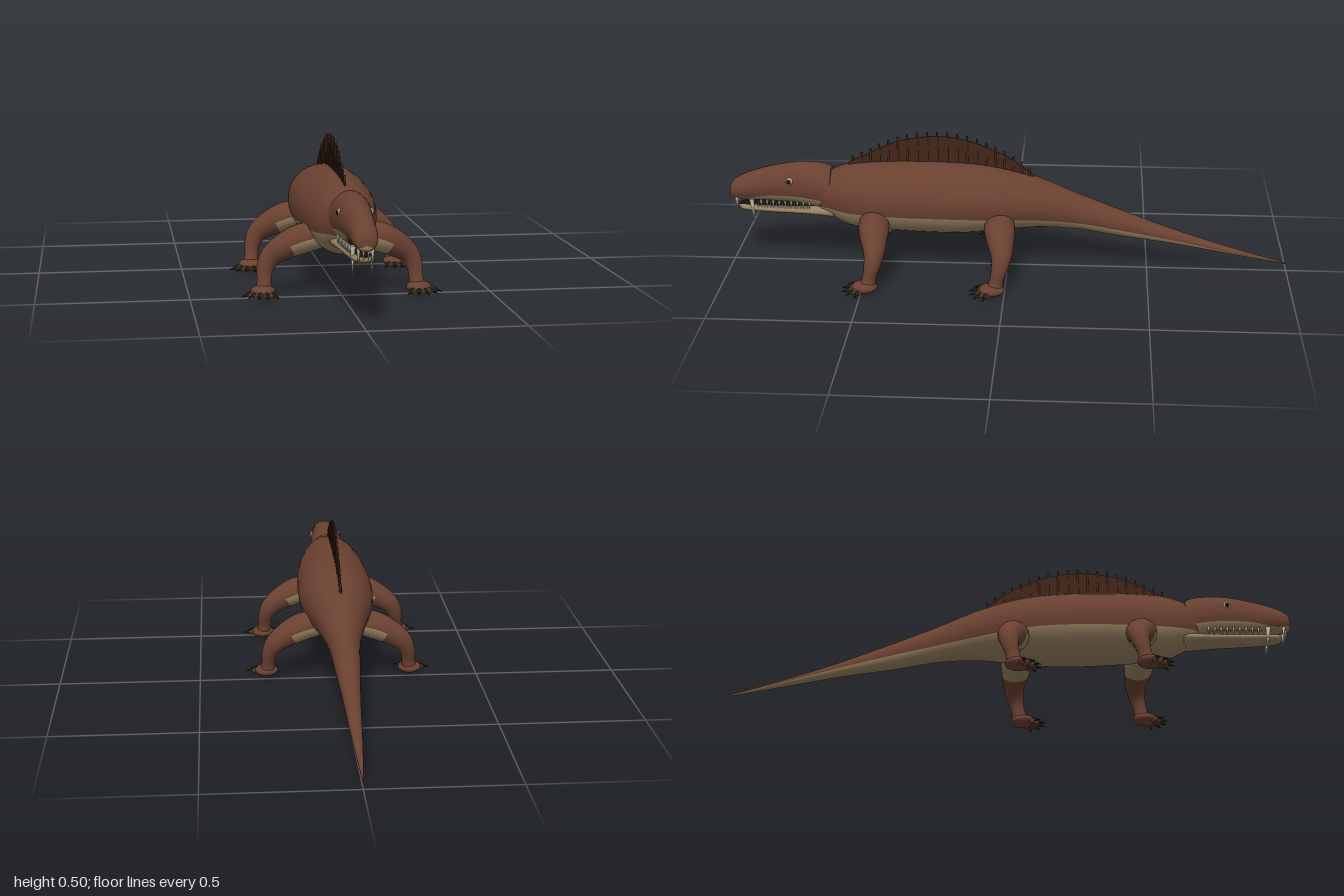
import * as THREE from 'three';

const mat = (name, color) => {
  const m = new THREE.MeshStandardMaterial({ color });
  m.name = name;
  return m;
};
const V = (x, y, z) => new THREE.Vector3(x, y, z);

// Smoothly subdivide a table of key rows, column by column
function smoothRows(rows, k) {
  const out = [];
  const at = i => rows[Math.max(0, Math.min(rows.length - 1, i))];
  for (let i = 0; i < rows.length - 1; i++) {
    for (let s = 0; s < k; s++) {
      const t = s / k;
      out.push(rows[i].map((p1, c) => {
        const p0 = at(i - 1)[c], p2 = at(i + 1)[c], p3 = at(i + 2)[c];
        return p1 + 0.5 * t * (p2 - p0 + t * (2 * p0 - 5 * p1 + 4 * p2 - p3 + t * (3 * (p1 - p2) + p3 - p0)));
      }));
    }
  }
  out.push(rows[rows.length - 1]);
  return out;
}

// Closed skin over rings of points; isPale picks the second material per quad
function loft(rings, isPale) {
  const n = rings[0].length, pos = [], faces = [[], []];
  rings.forEach(r => r.forEach(p => pos.push(p.x, p.y, p.z)));
  for (let i = 0; i < rings.length - 1; i++) {
    for (let j = 0; j < n; j++) {
      const a = i * n + j, b = i * n + (j + 1) % n, c = a + n, d = b + n;
      faces[isPale(i, j) ? 1 : 0].push(a, c, b, b, c, d);
    }
  }
  [0, rings.length - 1].forEach((i, end) => {
    const m = rings[i].reduce((s, p) => s.add(p), V(0, 0, 0)).divideScalar(n);
    const centre = pos.length / 3;
    pos.push(m.x, m.y, m.z);
    for (let j = 0; j < n; j++) {
      const a = i * n + j, b = i * n + (j + 1) % n;
      faces[isPale(i, j) ? 1 : 0].push(centre, end ? b : a, end ? a : b);
    }
  });
  const g = new THREE.BufferGeometry();
  g.setAttribute('position', new THREE.Float32BufferAttribute(pos, 3));
  g.setIndex([...faces[0], ...faces[1]]);
  g.addGroup(0, faces[0].length, 0);
  g.addGroup(faces[0].length, faces[1].length, 1);
  g.computeVertexNormals();
  return g;
}

// Oval cross-sections along z: [z, top, bottom, half width, height where the pale underside starts]
function trunk(rows, n = 32) {
  const h = n / 2;
  const rings = smoothRows(rows, 5).map(([z, top, bot, w, split]) => {
    const cy = (top + bot) / 2, ry = (top - bot) / 2;
    const a0 = Math.asin(Math.max(-0.95, Math.min(0.95, (split - cy) / ry)));
    return Array.from({ length: n }, (_, j) => {
      const a = j < h ? a0 + (Math.PI - 2 * a0) * j / h
        : Math.PI - a0 + (Math.PI + 2 * a0) * (j - h) / h;
      return V(w * Math.cos(a), cy + ry * Math.sin(a), z);
    });
  });
  return loft(rings, (i, j) => j >= h);
}

export function createModel() {
  const model = new THREE.Group();
  model.name = 'sailBackedReptile';
  const brown = mat('brownHide', 0x6a4131);
  const tan = mat('paleBelly', 0x98815f);
  const sailMat = mat('darkSail', 0x432619);
  const clawMat = mat('darkClaw', 0x1d2013);
  const toothMat = mat('tooth', 0xc9c4b2);
  const eyeMat = mat('eyeRim', 0xa8946a);
  const black = mat('pupil', 0x14110e);
  const hide = [brown, tan];

  const add = (name, geo, material, parent = model) => {
    const m = new THREE.Mesh(geo, material);
    m.name = name;
    parent.add(m);
    return m;
  };
  const ball = (name, p, s, material, parent) => {
    const m = add(name, new THREE.SphereGeometry(1, 16, 12), material, parent);
    m.position.copy(p);
    m.scale.copy(s);
    return m;
  };
  // Cone or rod from one point to another
  const spike = (name, a, b, r0, r1, material, parent) => {
    const d = b.clone().sub(a);
    const m = add(name, new THREE.CylinderGeometry(r1, r0, d.length(), 8), material, parent);
    m.position.copy(a).addScaledVector(d, 0.5);
    m.quaternion.setFromUnitVectors(V(0, 1, 0), d.normalize());
    return m;
  };

  // Body and tail
  add('bodyAndTail', trunk([
    [0.67, 0.34, 0.2, 0.055, 0.23], [0.63, 0.355, 0.18, 0.075, 0.23], [0.55, 0.38, 0.147, 0.106, 0.225],
    [0.4, 0.392, 0.136, 0.128, 0.225], [0.2, 0.392, 0.132, 0.136, 0.225], [0.05, 0.378, 0.142, 0.125, 0.22],
    [-0.1, 0.34, 0.157, 0.09, 0.208], [-0.25, 0.28, 0.15, 0.057, 0.188], [-0.4, 0.222, 0.125, 0.043, 0.16],
    [-0.6, 0.148, 0.097, 0.028, 0.118], [-0.8, 0.085, 0.062, 0.016, 0.071], [-1, 0.03, 0.025, 0.002, 0.027],
  ]), hide);

  // Head and lower jaw
  add('head', trunk([
    [1, 0.28, 0.25, 0.018, 0.255], [0.988, 0.308, 0.24, 0.035, 0.252], [0.94, 0.335, 0.236, 0.042, 0.25],
    [0.86, 0.361, 0.234, 0.047, 0.264], [0.76, 0.38, 0.228, 0.057, 0.266], [0.67, 0.378, 0.21, 0.064, 0.255],
    [0.63, 0.365, 0.2, 0.066, 0.24],
  ]), hide);
  add('lowerJaw', trunk([
    [0.968, 0.224, 0.208, 0.016, 0.22], [0.945, 0.226, 0.197, 0.033, 0.222], [0.85, 0.226, 0.192, 0.042, 0.222],
    [0.72, 0.227, 0.189, 0.051, 0.223], [0.62, 0.235, 0.18, 0.06, 0.23],
  ]), [black, tan]);

  // Sail membrane with spines poking above it
  const edge = new THREE.SplineCurve([
    [0.57, 0.385], [0.51, 0.412], [0.45, 0.443], [0.37, 0.473], [0.25, 0.488], [0.14, 0.473],
    [0.03, 0.43], [-0.03, 0.395], [-0.09, 0.35],
  ].map(p => new THREE.Vector2(...p)));
  const outline = edge.getPoints(48);
  const sail = new THREE.Shape([...outline, new THREE.Vector2(-0.09, 0.31), new THREE.Vector2(0.57, 0.35)]);
  add('sail', new THREE.ExtrudeGeometry(sail, { depth: 0.005, bevelEnabled: false })
    .rotateY(-Math.PI / 2).translate(0.0025, 0, 0), sailMat);
  for (let i = 0; i < 20; i++) {
    const p = edge.getPointAt((i + 0.5) / 20);
    spike('sailSpine', V(0, 0.33, p.x), V(0, p.y + 0.016, p.x), 0.006, 0.0035, sailMat);
  }

  for (const s of [1, -1]) {
    // Eyes and nostrils
    ball('eye', V(s * 0.049, 0.325, 0.775), V(0.01, 0.014, 0.014), eyeMat);
    ball('pupil', V(s * 0.056, 0.325, 0.777), V(0.005, 0.008, 0.008), black);
    ball('nostril', V(s * 0.02, 0.27, 0.992), V(0.005, 0.005, 0.005), black);

    // Teeth
    spike('fang', V(s * 0.03, 0.247, 0.92), V(s * 0.03, 0.153, 0.912), 0.009, 0.0005, toothMat);
    spike('frontFang', V(s * 0.022, 0.25, 0.975), V(s * 0.021, 0.19, 0.973), 0.006, 0.0005, toothMat);
    spike('frontTooth', V(s * 0.008, 0.25, 0.984), V(s * 0.008, 0.21, 0.982), 0.005, 0.0005, toothMat);
    for (let i = 0; i < 9; i++) {
      const z = 0.885 - i * 0.022, x = s * (0.034 + i * 0.0014);
      spike('upperTooth', V(x, 0.244, z), V(x, 0.213, z), 0.005, 0.0005, toothMat);
      spike('lowerTooth', V(x * 0.9, 0.215, z + 0.011), V(x * 0.9, 0.238, z + 0.011), 0.004, 0.0005, toothMat);
    }

    // Legs: [x, y, z, radius up, radius along z]
    for (const [name, z0] of [['frontLeg', 0], ['hindLeg', -0.445]]) {
      const leg = new THREE.Group();
      leg.name = name;
      leg.position.z = z0;
      model.add(leg);
      const rows = smoothRows([
        [0.07, 0.2, 0.47, 0.045, 0.05], [0.13, 0.188, 0.468, 0.05, 0.055], [0.185, 0.163, 0.462, 0.045, 0.047],
        [0.23, 0.13, 0.456, 0.036, 0.036], [0.25, 0.09, 0.462, 0.028, 0.029], [0.254, 0.05, 0.472, 0.024, 0.025],
        [0.258, 0.015, 0.482, 0.029, 0.032],
      ], 4);
      const n = 20;
      const rings = rows.map(([x, y, z, ru, rz], i) => {
        const a = rows[Math.max(0, i - 1)], b = rows[Math.min(rows.length - 1, i + 1)];
        const dir = V(s * (b[0] - a[0]), b[1] - a[1], 0).normalize();
        const u = V(0, 0, s), v = u.clone().cross(dir);
        return Array.from({ length: n }, (_, j) => {
          const t = j / n * Math.PI * 2;
          return V(s * x, y, z).addScaledVector(u, rz * Math.cos(t)).addScaledVector(v, ru * Math.sin(t));
        });
      });
      add('limb', loft(rings, (i, j) => i < 7 && j >= n / 2), hide, leg);

      // Foot, toes and claws
      ball('foot', V(s * 0.26, 0.02, 0.488), V(0.042, 0.02, 0.045), brown, leg);
      for (const deg of [-38, -10, 17, 44, 72]) {
        const t = deg * Math.PI / 180;
        const at = (r, y) => V(s * (0.26 + r * Math.sin(t)), y, 0.492 + r * Math.cos(t));
        const toe = ball('toe', at(0.036, 0.013), V(0.01, 0.01, 0.022), brown, leg);
        toe.rotation.y = s * t;
        spike('claw', at(0.045, 0.016), at(0.079, 0.007), 0.0085, 0.0005, clawMat, leg);
      }
    }
  }
  return model;
}
